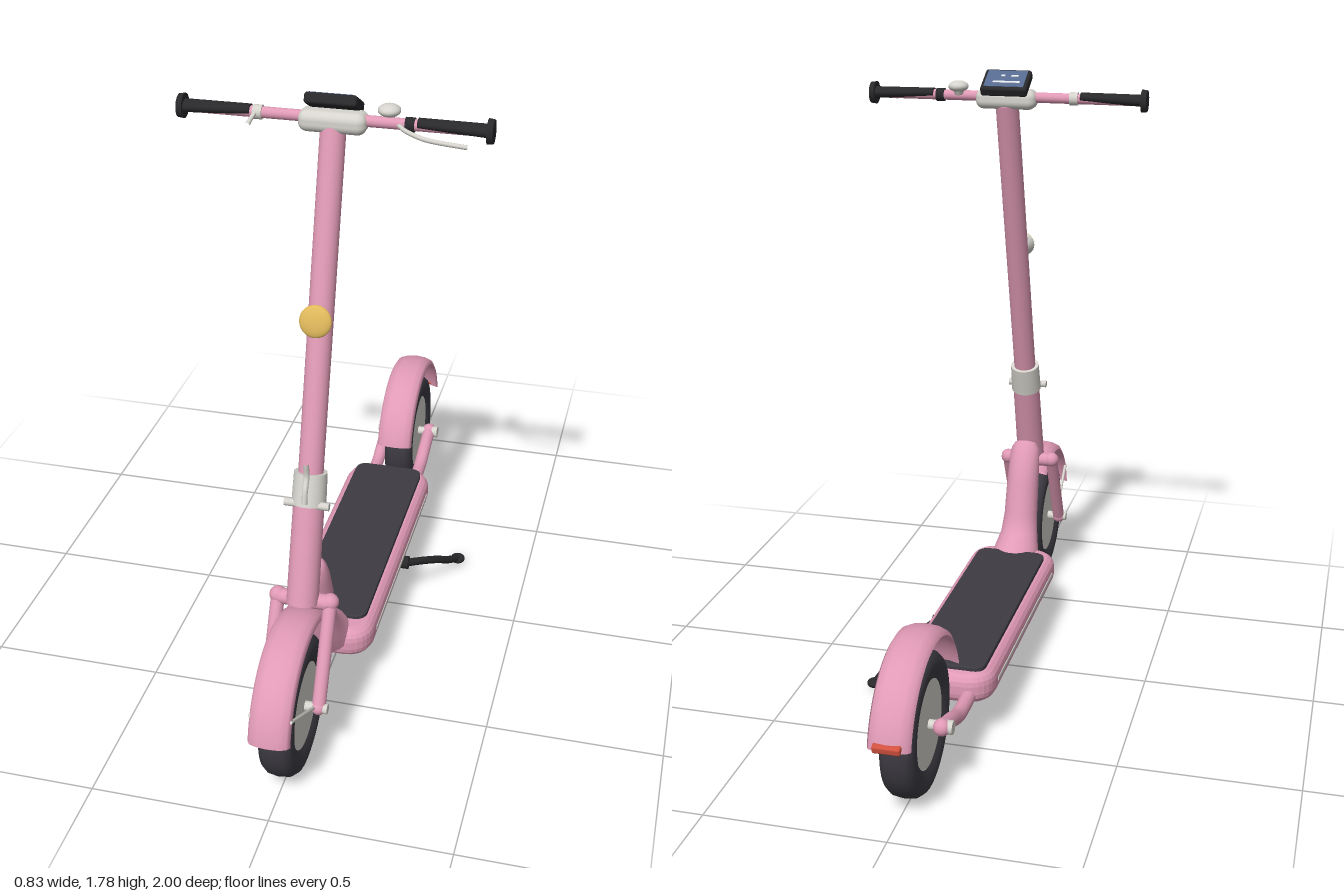
import * as THREE from 'three';
import { RoundedBoxGeometry } from 'three/addons/geometries/RoundedBoxGeometry.js';

const mat = (name, color, side = THREE.FrontSide) => {
  const m = new THREE.MeshStandardMaterial({ color, side });
  m.name = name;
  return m;
};
const V = (x, y, z) => new THREE.Vector3(x, y, z);

export function createModel() {
  const root = new THREE.Group();
  root.name = 'kickScooter';
  const pink = mat('pinkPaint', 0xe09ab5, THREE.DoubleSide);
  const rubber = mat('tyreRubber', 0x3d3b42);
  const black = mat('blackPlastic', 0x29292c);
  const silver = mat('silverMetal', 0xd6d4cd);
  const amber = mat('amberLens', 0xe0b95c);
  const screen = mat('blueScreen', 0x55698f);
  const white = mat('screenMarks', 0xe8ecf2);
  const red = mat('redLens', 0xd4533f);

  const add = (name, geo, m, parent = root) => {
    const mesh = new THREE.Mesh(geo, m);
    mesh.name = name;
    parent.add(mesh);
    return mesh;
  };
  // Straight round bar between two points
  const rod = (name, a, b, r0, r1, m, seg = 20) => {
    const d = b.clone().sub(a);
    const mesh = add(name, new THREE.CylinderGeometry(r1, r0, d.length(), seg), m);
    mesh.position.copy(a).add(b).multiplyScalar(0.5);
    mesh.quaternion.setFromUnitVectors(V(0, 1, 0), d.normalize());
    return mesh;
  };
  const pipe = (name, pts, r, m) =>
    add(name, new THREE.TubeGeometry(new THREE.CatmullRomCurve3(pts), 24, r, 12), m);
  const ball = (name, p, r, m) => {
    const mesh = add(name, new THREE.SphereGeometry(r, 16, 12), m);
    mesh.position.copy(p);
    return mesh;
  };
  // Flat rounded slab lying in the xz plane
  const slab = (name, hw, z0, z1, rad, y0, y1, bevel, m) => {
    const s = new THREE.Shape(), w = hw - bevel, a = -z1 + bevel, b = -z0 - bevel;
    s.moveTo(-w + rad, a).lineTo(w - rad, a).quadraticCurveTo(w, a, w, a + rad);
    s.lineTo(w, b - rad).quadraticCurveTo(w, b, w - rad, b);
    s.lineTo(-w + rad, b).quadraticCurveTo(-w, b, -w, b - rad);
    s.lineTo(-w, a + rad).quadraticCurveTo(-w, a, -w + rad, a);
    const g = new THREE.ExtrudeGeometry(s, {
      depth: y1 - y0 - 2 * bevel, bevelEnabled: bevel > 0, bevelSize: bevel,
      bevelThickness: bevel, bevelSegments: 4, curveSegments: 8,
    });
    g.rotateX(-Math.PI / 2).translate(0, y0 + bevel, 0);
    return add(name, g, m);
  };
  // Point on the raked stem axis at height y
  const stemAt = (y) => V(0, y, 0.625 - 0.3 * (y - 0.49));
  const rake = -Math.atan(0.3);

  // Wheels
  const tyreProfile = [[0.115, -0.034], [0.135, -0.044], [0.16, -0.048], [0.18, -0.043],
    [0.192, -0.028], [0.196, 0], [0.192, 0.028], [0.18, 0.043], [0.16, 0.048],
    [0.135, 0.044], [0.115, 0.034]].map(([r, h]) => new THREE.Vector2(r, h));
  const wheel = (name, z) => {
    const g = new THREE.Group();
    g.name = name;
    g.position.set(0, 0.2, z);
    g.rotation.z = -Math.PI / 2;
    add('tyre', new THREE.LatheGeometry(tyreProfile, 48), rubber, g);
    add('hub', new THREE.CylinderGeometry(0.122, 0.122, 0.074, 40), silver, g);
    add('axle', new THREE.CylinderGeometry(0.014, 0.014, 0.2, 16), silver, g);
    root.add(g);
  };
  wheel('frontWheel', 0.754);
  wheel('rearWheel', -0.738);

  // Curved fenders, swept round each wheel axle
  const fenderProfile = [[0.235, -0.058], [0.249, -0.05], [0.257, -0.03], [0.26, 0],
    [0.257, 0.03], [0.249, 0.05], [0.235, 0.058], [0.238, 0.048], [0.244, 0.028],
    [0.246, 0], [0.244, -0.028], [0.238, -0.048], [0.235, -0.058]]
    .map(([r, h]) => new THREE.Vector2(r, h));
  const fender = (name, z, from, to) => {
    const d = Math.PI / 180;
    const g = new THREE.LatheGeometry(fenderProfile, 36, -to * d, (to - from) * d);
    g.rotateZ(-Math.PI / 2);
    add(name, g, pink).position.set(0, 0.2, z);
  };
  fender('frontFender', 0.742, 11, 122);
  fender('rearFender', -0.738, 16, 168);
  const tail = add('tailLight', new RoundedBoxGeometry(0.075, 0.022, 0.024, 2, 0.006), red);
  tail.position.set(0, 0.262, -0.986);
  tail.rotation.x = -0.2;

  // Deck with grip mat and side trims
  slab('deck', 0.138, -0.485, 0.444, 0.05, 0.12, 0.212, 0.034, pink);
  slab('deckMat', 0.11, -0.45, 0.37, 0.035, 0.205, 0.224, 0.004, rubber);
  for (const s of [-1, 1]) {
    add('deckTrim', new RoundedBoxGeometry(0.008, 0.014, 0.73, 2, 0.003), silver)
      .position.set(s * 0.1365, 0.166, -0.025);
  }

  // Neck rising from the deck, lofted from oval sections: z, y, depth, width, tilt
  const sections = [[0.553, 0.54, 0.006, 0.012, 0.5], [0.553, 0.535, 0.022, 0.034, 0.5],
    [0.55, 0.515, 0.036, 0.046, 0.5], [0.532, 0.47, 0.046, 0.05, 0.4],
    [0.51, 0.4, 0.053, 0.052, 0.25], [0.488, 0.31, 0.053, 0.054, 0.15],
    [0.465, 0.25, 0.057, 0.06, 0.3], [0.43, 0.215, 0.075, 0.07, 0.35],
    [0.4, 0.18, 0.08, 0.08, 0.3]];
  const pos = [], idx = [], N = 24;
  sections.forEach(([z, y, rz, rx, t], i) => {
    for (let j = 0; j < N; j++) {
      const a = (j / N) * Math.PI * 2, c = Math.cos(a) * rz;
      pos.push(Math.sin(a) * rx, y - c * Math.sin(t), z + c * Math.cos(t));
      if (i) {
        const p = (i - 1) * N, k = (j + 1) % N;
        idx.push(p + j, p + N + j, p + k, p + k, p + N + j, p + N + k);
      }
    }
  });
  const neck = new THREE.BufferGeometry();
  neck.setAttribute('position', new THREE.Float32BufferAttribute(pos, 3));
  neck.setIndex(idx);
  neck.computeVertexNormals();
  add('neck', neck, pink);

  // Fork, fender stays and rear arms
  rod('forkCrown', V(-0.07, 0.455, 0.62), V(0.07, 0.455, 0.62), 0.022, 0.022, pink);
  for (const s of [-1, 1]) {
    const x = s * 0.074;
    ball('forkShoulder', V(x, 0.457, 0.618), 0.024, pink);
    rod('forkLeg', V(x, 0.455, 0.619), V(x, 0.2, 0.752), 0.019, 0.019, pink);
    ball('forkTip', V(x, 0.2, 0.752), 0.021, pink);
    rod('fenderStay', V(s * 0.064, 0.2, 0.754), V(s * 0.055, 0.315, 0.955), 0.005, 0.005, silver, 8);
    pipe('rearArm', [V(x, 0.15, -0.43), V(x, 0.146, -0.52), V(x, 0.15, -0.59),
      V(x, 0.175, -0.66), V(x, 0.2, -0.745)], 0.021, pink);
    ball('rearArmTip', V(x, 0.2, -0.745), 0.024, pink);
    rod('axleCap', V(s * 0.085, 0.2, -0.74), V(s * 0.104, 0.2, -0.74), 0.019, 0.019, silver);
  }

  // Stem, folding clamp and its lever
  rod('lowerStem', stemAt(0.455), stemAt(0.76), 0.044, 0.042, pink, 28);
  rod('upperStem', stemAt(0.76), stemAt(1.69), 0.034, 0.034, pink, 28);
  rod('foldingClamp', stemAt(0.725), stemAt(0.81), 0.047, 0.045, silver, 28);
  rod('clampBolt', V(-0.062, 0.735, 0.575), V(0.062, 0.735, 0.575), 0.011, 0.011, silver, 12);
  pipe('clampLever', [V(0, 0.75, 0.598), V(0, 0.785, 0.59), V(0, 0.82, 0.572),
    V(0, 0.862, 0.576)], 0.008, silver);

  // Headlight, facing square to the stem
  const lamp = new THREE.Group();
  lamp.name = 'headlight';
  lamp.position.copy(stemAt(1.21));
  lamp.rotation.x = rake + Math.PI / 2;
  const housing = add('housing', new THREE.CylinderGeometry(0.042, 0.022, 0.035, 24), silver, lamp);
  housing.position.y = 0.04;
  const lens = add('lens', new THREE.SphereGeometry(0.044, 24, 8, 0, Math.PI * 2, 0, Math.PI / 2), amber, lamp);
  lens.scale.y = 0.32;
  lens.position.y = 0.056;
  root.add(lamp);

  // Handlebar with grips
  const barY = 1.708, barZ = 0.263;
  rod('handlebar', V(-0.4, barY, barZ), V(0.4, barY, barZ), 0.015, 0.015, pink);
  for (const s of [-1, 1]) {
    const grip = rod('grip', V(s * 0.22, barY + 0.006, barZ), V(s * 0.4, barY + 0.001, barZ), 0.013, 0.017, black);
    grip.scale.z = 1.45;
    rod('gripEnd', V(s * 0.398, barY, barZ), V(s * 0.414, barY, barZ), 0.033, 0.031, black, 24);
    rod('gripCollar', V(s * 0.188, barY, barZ), V(s * 0.212, barY, barZ), 0.019, 0.019, s < 0 ? silver : black);
  }

  // Brake lever, thumb lever and bell
  pipe('brakeLever', [V(0.17, 1.707, 0.27), V(0.195, 1.705, 0.302), V(0.25, 1.7, 0.336),
    V(0.29, 1.695, 0.338), V(0.36, 1.688, 0.336)], 0.006, silver);
  pipe('thumbLever', [V(-0.205, 1.71, 0.275), V(-0.21, 1.7, 0.3), V(-0.212, 1.692, 0.32)], 0.006, silver);
  rod('bellBase', V(0.142, 1.712, 0.252), V(0.142, 1.735, 0.248), 0.012, 0.02, silver);
  const bell = ball('bell', V(0.142, 1.736, 0.247), 0.03, silver);
  bell.scale.y = 0.55;

  // Stem head and tilted display
  add('stemHead', new RoundedBoxGeometry(0.18, 0.058, 0.07, 4, 0.024), silver)
    .position.set(0, 1.702, 0.264);
  const display = new THREE.Group();
  display.name = 'display';
  display.position.set(0, 1.748, 0.256);
  display.rotation.x = -0.5;
  add('displayCase', new RoundedBoxGeometry(0.138, 0.03, 0.098, 3, 0.008), black, display);
  add('displayScreen', new THREE.BoxGeometry(0.118, 0.004, 0.078), screen, display).position.y = 0.0145;
  [[-0.005, -0.018, 0.08], [-0.025, 0.012, 0.022], [0.01, 0.012, 0.012]].forEach(([x, z, w]) => {
    add('screenMark', new THREE.BoxGeometry(w, 0.003, 0.008), white, display).position.set(x, 0.0165, z);
  });
  root.add(display);

  // Kickstand
  rod('kickstandPivot', V(0.12, 0.142, -0.035), V(0.155, 0.142, -0.035), 0.02, 0.02, black);
  pipe('kickstandLeg', [V(0.145, 0.143, -0.03), V(0.18, 0.122, -0.08), V(0.225, 0.09, -0.145),
    V(0.25, 0.058, -0.195), V(0.272, 0.03, -0.25)], 0.012, black);
  const foot = ball('kickstandFoot', V(0.274, 0.028, -0.253), 0.023, black);
  foot.scale.y = 0.6;

  return root;
}
